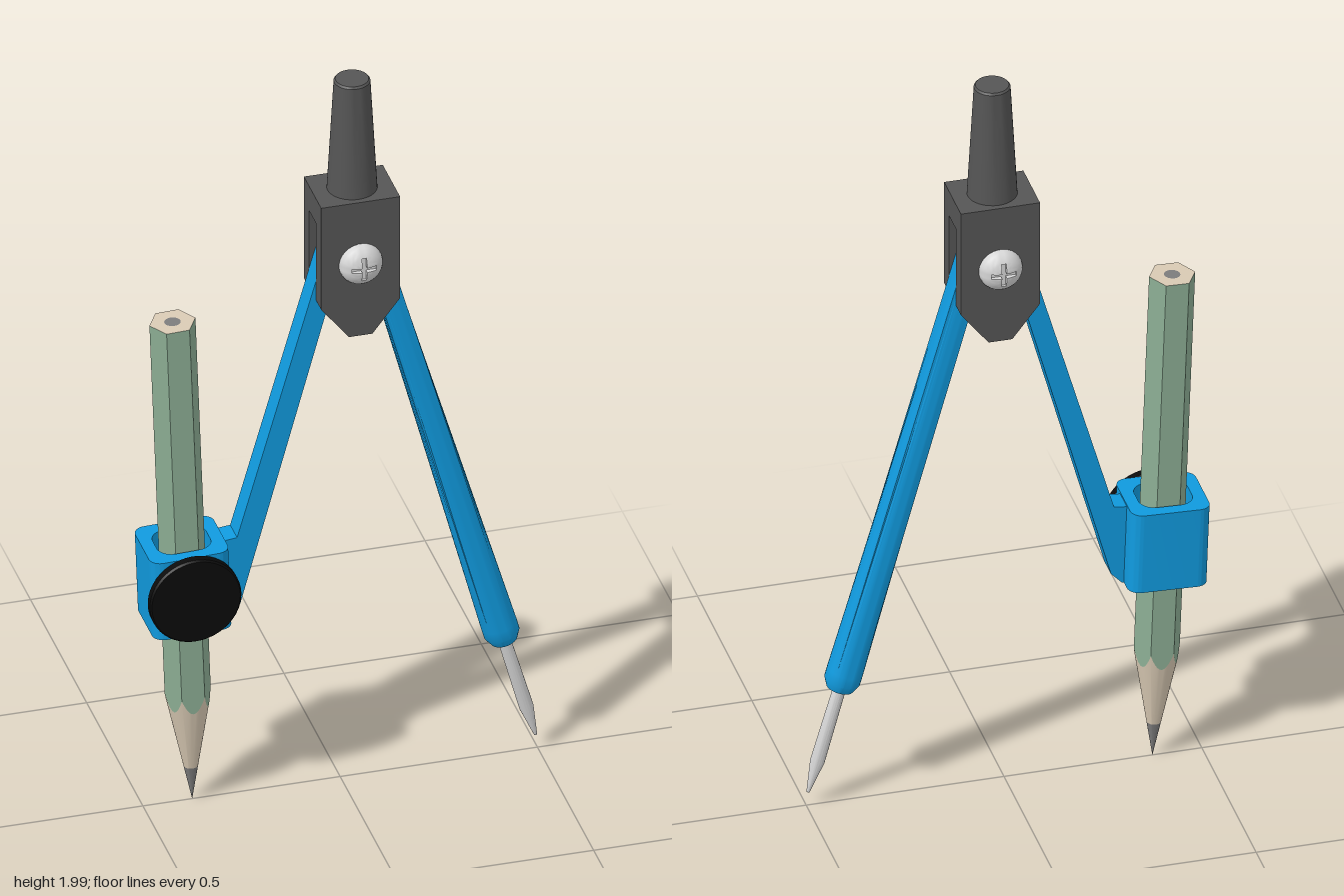
import * as THREE from 'three';
import { toCreasedNormals } from 'three/addons/utils/BufferGeometryUtils.js';

const material = (name, color) => {
  const m = new THREE.MeshStandardMaterial({ color });
  m.name = name;
  return m;
};

// Skin a list of closed rings (counter-clockwise seen from +y, bottom row first)
function loft(rows, crease = 0.55) {
  const n = rows[0].length, index = [];
  for (let i = 0; i < rows.length - 1; i++) {
    for (let j = 0; j < n; j++) {
      const a = i * n + j, b = i * n + (j + 1) % n;
      index.push(a, b, b + n, a, b + n, a + n);
    }
  }
  const g = new THREE.BufferGeometry().setFromPoints(rows.flat());
  g.setIndex(index);
  return toCreasedNormals(g, crease);
}

const polar = (r, y, angle) => new THREE.Vector3(r * Math.cos(angle), y, -r * Math.sin(angle));

const ring = (n, radiusAt, yAt) => Array.from({ length: n }, (_, j) => {
  const angle = (j / n) * Math.PI * 2, r = radiusAt(angle);
  return polar(r, yAt(r), angle);
});

const lathe = (points, segments = 32) => toCreasedNormals(
  new THREE.LatheGeometry(points.map(([x, y]) => new THREE.Vector2(x, y)), segments), 0.55);

function plate(points, z0, z1) {
  const shape = new THREE.Shape(points.map(([x, y]) => new THREE.Vector2(x, y)));
  return new THREE.ExtrudeGeometry(shape, { depth: z1 - z0, bevelEnabled: false }).translate(0, 0, z0);
}

function roundedRect(path, w, h, r) {
  path.absarc(w - r, h - r, r, 0, Math.PI / 2);
  path.absarc(r - w, h - r, r, Math.PI / 2, Math.PI);
  path.absarc(r - w, r - h, r, Math.PI, Math.PI * 1.5);
  path.absarc(w - r, r - h, r, Math.PI * 1.5, Math.PI * 2);
  path.closePath();
  return path;
}

// Domed screw head with a sunken cross, pointing along +z
function screwGeometry() {
  const R = 0.055, H = 0.039, w = 0.006, L = 0.032, floor = 0.025, core = w * Math.SQRT2;
  const row = (r, mode) => {
    const a = r > core ? Math.asin(w / r) : Math.PI / 4;
    const high = H * Math.sqrt(Math.max(0, 1 - (r / R) ** 2));
    const armY = mode === 'dome' ? high : floor;
    const domeY = mode === 'floor' ? floor : high;
    const out = [];
    for (let k = 0; k < 4; k++) {
      const q = k * Math.PI / 2;
      out.push(polar(r, armY, q - a), polar(r, armY, q + a));
      for (let s = 0; s <= 6; s++) {
        out.push(polar(r, domeY, q + a + (Math.PI / 2 - 2 * a) * s / 6));
      }
    }
    return out;
  };
  const rows = [
    ...[R, 0.0535, 0.05, 0.044, 0.038, L].map(r => row(r, 'dome')),
    ...[L, 0.024, 0.016, core].map(r => row(r, 'cross')),
    row(core, 'floor'), row(0, 'floor'),
  ];
  return loft(rows, 0.5).rotateX(Math.PI / 2);
}

export function createModel() {
  const model = new THREE.Group();
  model.name = 'drawingCompass';
  const blue = material('blue', 0x109ade);
  const grey = material('darkGrey', 0x555555);
  const metal = material('metal', 0xd6d6d6);
  const black = material('black', 0x0b0b0b);
  const green = material('pencilGreen', 0x8bac93);
  const wood = material('wood', 0xd9cab4);
  const graphite = material('graphite', 0x7c7c7c);

  const add = (parent, name, geometry, mat, x = 0, y = 0, z = 0) => {
    const mesh = new THREE.Mesh(geometry, mat);
    mesh.name = name;
    mesh.position.set(x, y, z);
    parent.add(mesh);
    return mesh;
  };
  const group = (name, x, y, tilt) => {
    const g = new THREE.Group();
    g.name = name;
    g.position.set(x, y, 0);
    g.rotation.z = tilt;
    model.add(g);
    return g;
  };

  // Forked head, grip and pivot
  const head = group('head', 0.03, 0, 0);
  const cheek = [[-0.1, 1.69], [-0.1, 1.4], [-0.03, 1.31], [0.03, 1.31], [0.1, 1.4], [0.1, 1.69]];
  add(head, 'frontCheek', plate(cheek, 0.033, 0.077), grey);
  add(head, 'backCheek', plate(cheek, -0.077, -0.033), grey);
  add(head, 'headBridge', new THREE.BoxGeometry(0.2, 0.07, 0.066), grey, 0, 1.655);
  add(head, 'grip', lathe([[0, 1.69], [0.062, 1.69], [0.045, 1.995], [0.041, 2], [0, 2]]), grey);
  add(head, 'pivotPin', new THREE.CylinderGeometry(0.02, 0.02, 0.14, 20).rotateX(Math.PI / 2), metal, 0, 1.517);
  for (const side of [1, -1]) {
    const screw = add(head, side > 0 ? 'frontScrew' : 'backScrew', screwGeometry(), metal, 0, 1.517, 0.077 * side);
    if (side < 0) screw.rotation.y = Math.PI;
  }

  // Needle leg: rectangular at the hinge, blending to a round socket
  const leg = group('needleLeg', 0.415, 0.332, 0.274);
  const section = (y, rx, rz, square) => Array.from({ length: 32 }, (_, j) => {
    const t = j / 32 * Math.PI * 2, c = Math.cos(t), s = Math.sin(t);
    const k = 1 + square * (1 / Math.max(Math.abs(c), Math.abs(s)) - 1);
    return new THREE.Vector3(rx * c * k, y, -rz * s * k);
  });
  add(leg, 'needleArm', loft([
    section(0, 0, 0, 0), section(0, 0.034, 0.034, 0), section(0.022, 0.045, 0.045, 0),
    section(0.05, 0.045, 0.045, 0.03), section(1.24, 0.028, 0.031, 1), section(1.24, 0, 0, 1),
  ]), blue);
  add(leg, 'needle', lathe([[0, -0.298], [0.004, -0.297], [0.018, -0.21], [0.016, 0.01]], 20), metal);

  // Pencil leg: flat bar running into the clamp
  add(model, 'pencilArm', plate([
    [-0.046, 1.535], [-0.06, 1.49], [-0.27, 0.755], [-0.315, 0.75], [-0.315, 0.535],
    [-0.29, 0.535], [-0.262, 0.565], [-0.035, 1.395], [0.002, 1.52],
  ], -0.031, 0.031), blue);

  // Pencil and clamp share one tilted axis
  const pencil = group('pencil', -0.375, 0.008, 0.0365);
  const N = 60, sixth = Math.PI / 3, slope = 5.4, top = 1.373, leadR = 0.018;
  const hex = a => 0.0505 / Math.cos((a % sixth) - sixth / 2);
  const circle = r => () => r;
  const onCone = r => r * slope;
  const onTop = () => top;
  add(pencil, 'pencilPaint', loft([ring(N, hex, onCone), ring(N, hex, onTop)]), green);
  add(pencil, 'sharpenedWood', loft([ring(N, circle(leadR), onCone), ring(N, hex, onCone)]), wood);
  add(pencil, 'pencilPoint', loft([ring(N, circle(0), onCone), ring(N, circle(leadR), onCone)]), graphite);
  add(pencil, 'pencilEnd', loft([ring(N, hex, onTop), ring(N, circle(0.02), onTop)]), wood);
  add(pencil, 'leadEnd', loft([ring(N, circle(0.02), onTop), ring(N, circle(0), onTop)]), graphite);

  // Clamp collar with a rounded opening
  const collar = roundedRect(new THREE.Shape(), 0.1, 0.09, 0.03);
  collar.holes.push(roundedRect(new THREE.Path(), 0.068, 0.058, 0.04));
  const collarGeometry = new THREE.ExtrudeGeometry(collar, { depth: 0.22, bevelEnabled: false, curveSegments: 8 });
  collarGeometry.rotateX(-Math.PI / 2);
  add(pencil, 'clampCollar', toCreasedNormals(collarGeometry, 0.55), blue, 0, 0.525);

  // Clamp knob
  const knob = lathe([[0, 0], [0.112, 0], [0.116, 0.004], [0.116, 0.023], [0.112, 0.028], [0, 0.028]], 48);
  add(pencil, 'clampKnob', knob.rotateX(Math.PI / 2), black, 0, 0.636, 0.089);

  return model;
}
